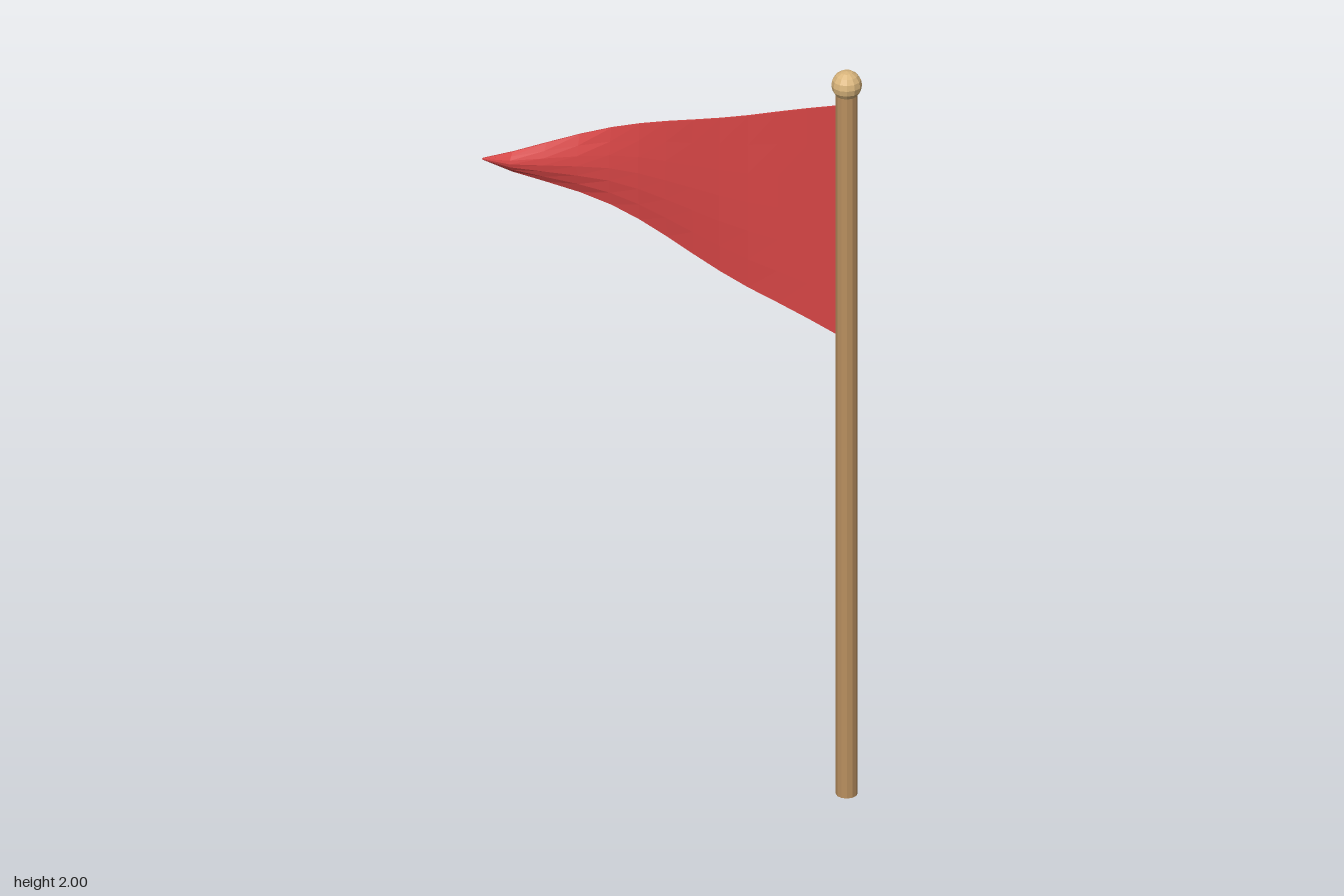
import * as THREE from 'three';

const POLE_X = 0.475, POLE_Z = -0.01;

function addPart(group, name, geometry, color, x = 0, y = 0, z = 0) {
  const material = new THREE.MeshStandardMaterial({ color, flatShading: true });
  const mesh = new THREE.Mesh(geometry, material);
  mesh.name = name;
  mesh.position.set(x, y, z);
  group.add(mesh);
}

// Thin slab bent into a rippling, tapering pennant
function pennantGeometry() {
  const columns = 12, thickness = 0.006;
  // Ripple depth of the edges and of the middle line, from pole to tip
  const edgeZ = [-0.008, -0.006, -0.002, 0.003, 0, -0.01, -0.023, -0.033, -0.034, -0.021, 0.003, 0.028, 0.038];
  const middleZ = [-0.008, -0.005, 0, 0.007, 0.005, -0.005, -0.015, -0.024, -0.022, -0.002, 0.022, 0.044, 0.038];
  const geometry = new THREE.BoxGeometry(1, 1, 1, columns, 6, 1);
  const p = geometry.attributes.position;
  for (let i = 0; i < p.count; i++) {
    const s = 0.5 - p.getX(i);          // 0 at the pole, 1 at the tip
    const v = p.getY(i) * 2;            // -1 bottom edge, 1 top edge
    const c = Math.round(s * columns);
    const z = THREE.MathUtils.lerp(edgeZ[c], middleZ[c], Math.cos(v * Math.PI / 2));
    p.setXYZ(
      i,
      0.45 - 0.965 * s,
      1.583 - 0.048 * s * s + v * (0.001 + 0.315 * (1 - s)),
      z + p.getZ(i) * thickness
    );
  }
  geometry.computeVertexNormals();
  return geometry;
}

export function createModel() {
  const group = new THREE.Group();
  group.name = 'pennantFlag';

  // Wooden pole with a ball on top
  addPart(group, 'pole', new THREE.CylinderGeometry(0.027, 0.027, 1.94, 12), 0xb98f5f, POLE_X, 0.97, POLE_Z);
  addPart(group, 'finial', new THREE.SphereGeometry(0.038, 12, 8), 0xd9b57c, POLE_X, 1.962, POLE_Z);

  // Red cloth
  addPart(group, 'pennant', pennantGeometry(), 0xd64545);

  return group;
}
